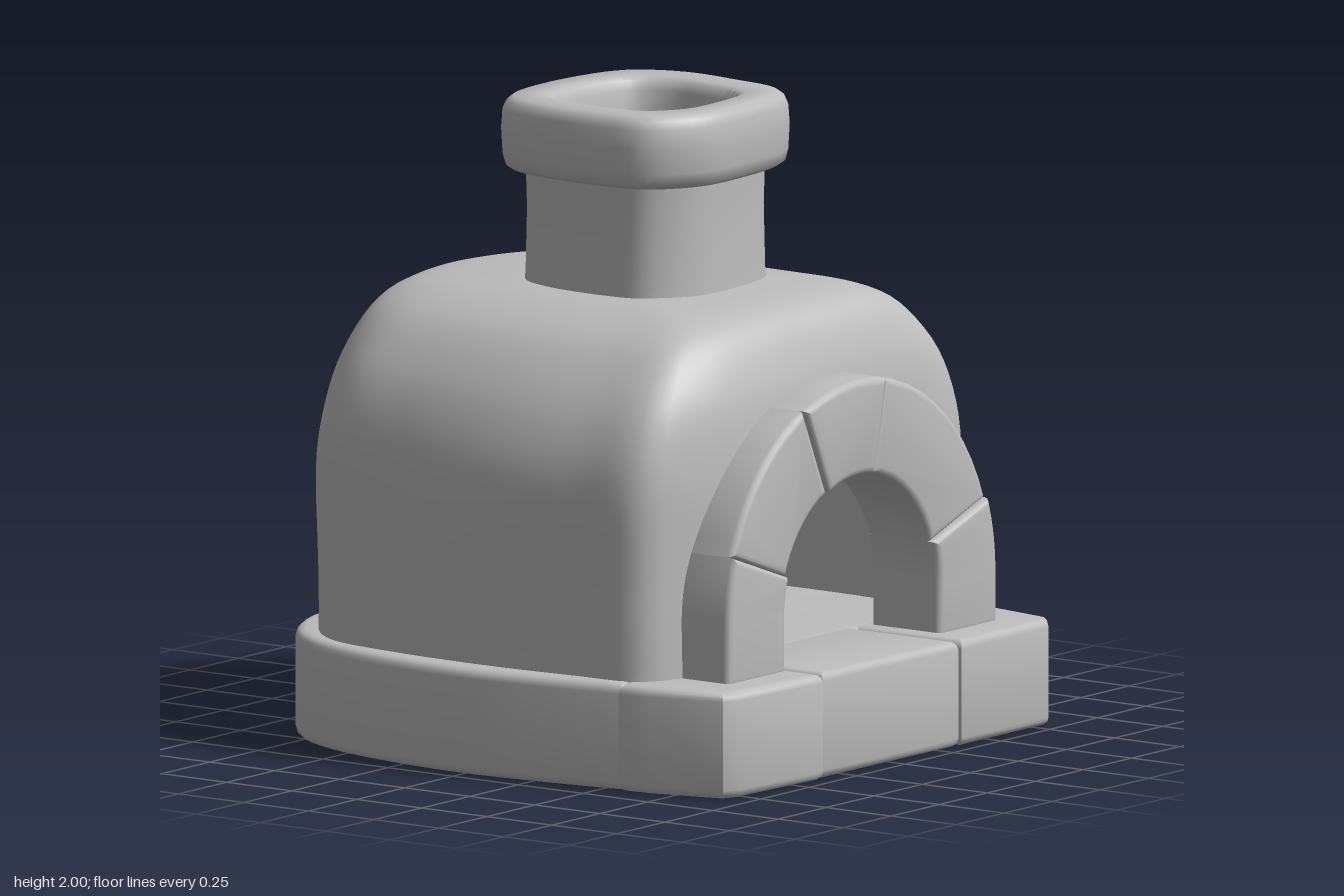
import * as THREE from 'three';
import { toCreasedNormals } from 'three/addons/utils/BufferGeometryUtils.js';

const clay = new THREE.MeshStandardMaterial({ color: 0xbdbdbd });
clay.name = 'grey clay';

const v3 = (x, y, z) => new THREE.Vector3(x, y, z);

function part(group, name, geometry) {
  const mesh = new THREE.Mesh(geometry, clay);
  mesh.name = name;
  group.add(mesh);
  return mesh;
}

// Smooth closed plan outline from [x, z] points, clockwise seen from above
const outline = (pts, n) => new THREE.CatmullRomCurve3(pts.map(([x, z]) => v3(x, 0, z)), true)
  .getSpacedPoints(n).slice(0, n);

// Rings of an outline scaled by (x, z) at height y; keep() can leave out faces
function loft(plan, rings, cz = 0, { flip = false, keep = () => true, lump = 0 } = {}) {
  const n = plan.length, pos = [], index = [];
  for (const r of rings) {
    for (const p of plan) {
      const x = p.x * r.x, z = cz + (p.z - cz) * r.z;
      const k = 1 + lump * Math.sin(5 * x + 3 * r.y) * Math.sin(6 * z - 4 * r.y + 1);
      pos.push(x * k, r.y, z * k);
    }
  }
  const at = (i) => v3(pos[3 * i], pos[3 * i + 1], pos[3 * i + 2]);
  for (let j = 0; j < rings.length - 1; j++) {
    for (let i = 0; i < n; i++) {
      const a = j * n + i, b = j * n + (i + 1) % n, c = a + n, d = b + n;
      if (!keep(at(a).add(at(d)).multiplyScalar(0.5))) continue;
      if (flip) index.push(a, b, c, b, d, c);
      else index.push(a, c, b, b, c, d);
    }
  }
  const g = new THREE.BufferGeometry();
  g.setAttribute('position', new THREE.Float32BufferAttribute(pos, 3));
  g.setIndex(index);
  g.computeVertexNormals();
  return g;
}

// Rounded slab from a flat shape, from 0 to depth along z
function slab(pts, depth, bevel) {
  const shape = new THREE.Shape(pts.map(([x, y]) => new THREE.Vector2(x, y)));
  const g = new THREE.ExtrudeGeometry(shape, {
    depth: depth - 2 * bevel, bevelThickness: bevel, bevelSize: bevel,
    bevelOffset: -bevel, bevelSegments: 3,
  });
  g.translate(0, 0, bevel);
  return toCreasedNormals(g, 0.75);
}

// Slab lying flat, from [x, z] plan points
const floorSlab = (pts, y0, y1, bevel) =>
  slab(pts.map(([x, z]) => [x, -z]), y1 - y0, bevel).rotateX(-Math.PI / 2).translate(0, y0, 0);

function createModel() {
  const oven = new THREE.Group();
  oven.name = 'oven';

  // Rounded plinth under the dome
  const plinth = new THREE.CatmullRomCurve3([
    [-0.9, 0.58], [-0.94, 0.3], [-0.965, -0.05], [-0.9, -0.5], [-0.78, -0.75], [-0.56, -0.91],
    [-0.2, -0.97], [0.15, -0.94], [0.5, -0.83], [0.9, -0.63], [0.93, -0.5], [0.96, -0.05],
    [0.93, 0.3], [0.9, 0.58],
  ].map(([x, z]) => v3(x, 0, z))).getPoints(52).map((p) => [p.x, p.z]);
  part(oven, 'plinth', floorSlab(plinth, 0, 0.335, 0.03));

  // Three hearth stones along the front
  const stones = {
    rightHearthStone: [[-0.91, 0.57], [-0.9, 0.68], [-0.84, 0.92], [-0.78, 0.945], [-0.38, 0.965], [-0.37, 0.53], [-0.8, 0.53]],
    middleHearthStone: [[-0.37, 0.53], [-0.37, 0.955], [0.33, 0.96], [0.33, 0.53]],
    leftHearthStone: [[0.33, 0.53], [0.34, 0.965], [0.8, 0.96], [0.85, 0.92], [0.89, 0.7], [0.9, 0.57], [0.8, 0.53]],
  };
  for (const [name, pts] of Object.entries(stones)) part(oven, name, floorSlab(pts, 0, 0.335, 0.028));

  // Dome shell and its lining, both open behind the arch
  const domePlan = outline([
    [-0.8, -0.62], [-0.62, -0.8], [-0.3, -0.88], [-0.05, -0.9], [0.25, -0.87], [0.55, -0.77],
    [0.82, -0.58], [0.85, -0.4], [0.87, 0], [0.86, 0.35], [0.83, 0.59], [0.68, 0.68], [0.3, 0.71],
    [0, 0.71], [-0.3, 0.71], [-0.66, 0.67], [-0.83, 0.59], [-0.86, 0.35], [-0.88, 0], [-0.86, -0.35],
  ], 128);
  const profile = new THREE.CatmullRomCurve3([
    [1, 0.32, 1], [1, 0.6, 1], [0.995, 0.87, 1], [0.97, 1.0, 0.99], [0.91, 1.13, 0.975],
    [0.84, 1.22, 0.95], [0.71, 1.33, 0.89], [0.56, 1.39, 0.8], [0.36, 1.42, 0.5], [0, 1.43, 0],
  ].map((p) => v3(...p))).getSpacedPoints(48);
  const keep = (p) => p.z < 0.3 || Math.abs(p.x) > 0.54 || Math.hypot(p.x, Math.max(0, p.y - 0.49)) > 0.54;
  part(oven, 'domeShell', loft(domePlan, profile, -0.09, { keep, lump: 0.008 }));
  const lining = profile.map((p) => v3(p.x * 0.9, 0.32 + (p.y - 0.32) * 0.93, p.z * 0.9));
  part(oven, 'domeLining', loft(domePlan, lining, -0.09, { keep, flip: true }));

  // Oven floor, rising gently to the back
  const floor = new THREE.PlaneGeometry(1.5, 1.3, 20, 20).rotateX(-Math.PI / 2).translate(0, 0, -0.12);
  const fp = floor.attributes.position;
  for (let i = 0; i < fp.count; i++) {
    const x = fp.getX(i), t = THREE.MathUtils.smoothstep(-fp.getZ(i), -0.3, 0.6);
    fp.setY(i, Math.max(0.3, 0.338 + 0.125 * t * (1 - (x / 0.6) ** 2)));
  }
  floor.computeVertexNormals();
  part(oven, 'ovenFloor', floor);

  // Arch of two legs and three voussoirs
  const arch = new THREE.Group();
  arch.name = 'arch';
  oven.add(arch);
  const cy = 0.49, ri = 0.4, ro = 0.7;
  const arc = (r, a, b) => Array.from({ length: 11 }, (_, i) => {
    const t = THREE.MathUtils.degToRad(a + (b - a) * i / 10);
    return [r * Math.cos(t), cy + r * Math.sin(t)];
  });
  const addStone = (name, a, b, front, legSide) => {
    const pts = [...arc(ro, a, b), ...arc(ri, b, a)];
    if (legSide > 0) pts.push([ri, 0.32], [ro, 0.32]);
    if (legSide < 0) pts.splice(11, 0, [-ro, 0.32], [-ri, 0.32]);
    part(arch, name, slab(pts, front - 0.57, 0.022).translate(0, 0, 0.57));
  };
  addStone('leftLegStone', 0, 19.5, 0.84, 1);
  addStone('leftArchStone', 19.5, 79, 0.825, 0);
  addStone('keystone', 79, 114, 0.835, 0);
  addStone('rightArchStone', 114, 160.5, 0.825, 0);
  addStone('rightLegStone', 160.5, 180, 0.84, -1);

  // Chimney with a thick hollow collar
  const chimneyPlan = outline([
    [-0.36, -0.2], [-0.29, -0.34], [-0.05, -0.39], [0.28, -0.34], [0.36, -0.27], [0.41, -0.12],
    [0.39, 0.1], [0.36, 0.26], [0.29, 0.34], [0, 0.385], [-0.2, 0.37], [-0.35, 0.26], [-0.38, 0.12],
  ], 64);
  const rings = (list) => list.map(([s, y]) => v3(s, y, s));
  part(oven, 'chimneyShaft', loft(chimneyPlan, rings([[0.85, 1.34], [0.83, 1.45], [0.82, 1.65], [0.83, 1.8]])));
  part(oven, 'chimneyCollar', toCreasedNormals(loft(chimneyPlan, rings([
    [0.62, 1.775], [0.92, 1.77], [0.97, 1.785], [0.99, 1.82], [1, 1.9], [0.99, 1.96], [0.965, 1.985],
    [0.92, 2], [0.7, 2], [0.65, 1.99], [0.62, 1.96], [0.6, 1.85], [0.57, 1.38],
  ])), 0.75));

  return oven;
}

export { createModel };
